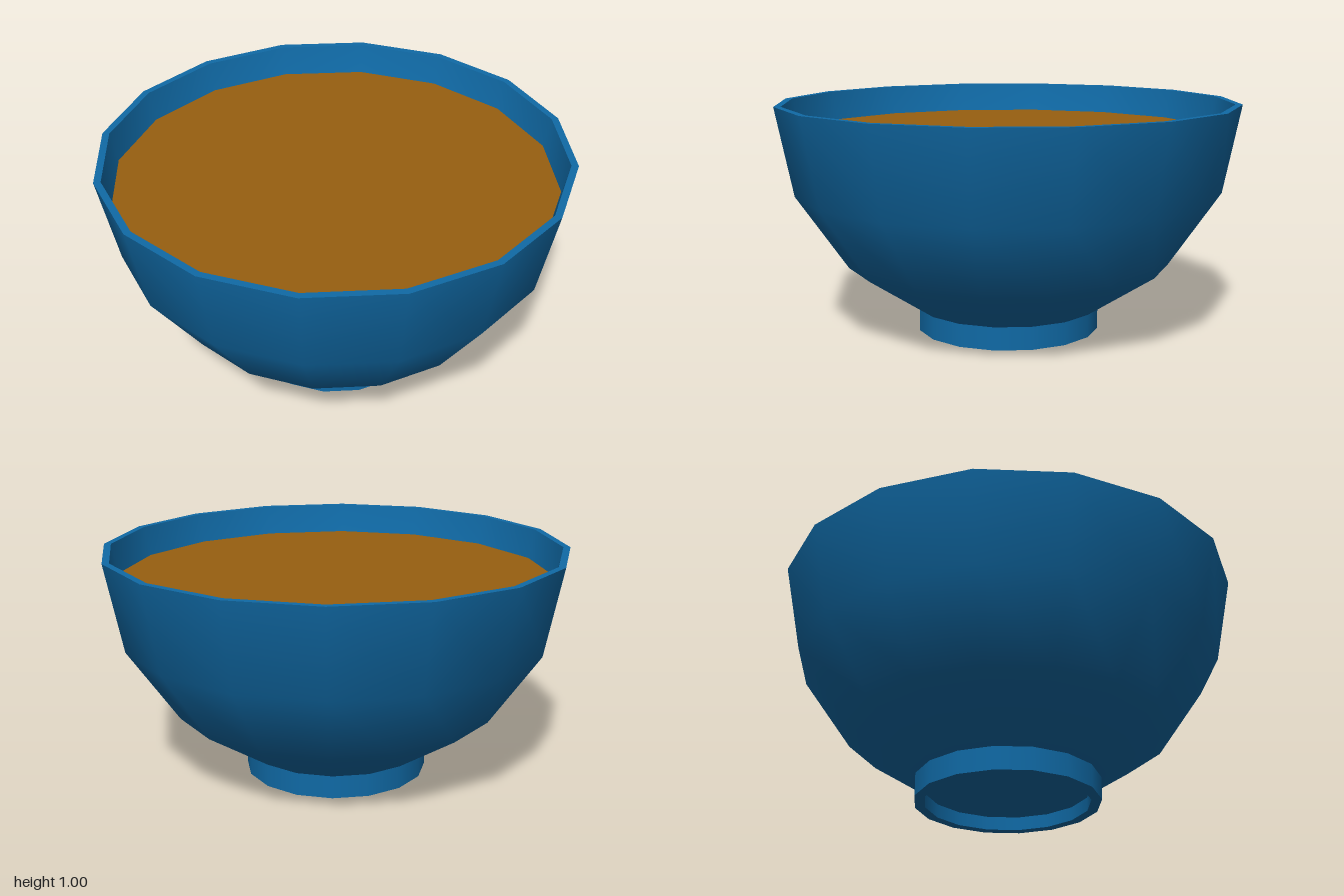
import * as THREE from 'three';

const SIDES = 16;

export function createModel() {
  const model = new THREE.Group();
  const blue = new THREE.MeshStandardMaterial({ color: 0x106aa6 });
  const brown = new THREE.MeshStandardMaterial({ color: 0x985f10 });

  // Each profile is its own lathe, so edges between profiles stay sharp
  function lathe(parent, name, profile) {
    const points = profile.map(([r, y]) => new THREE.Vector2(r, y));
    const mesh = new THREE.Mesh(new THREE.LatheGeometry(points, SIDES), blue);
    mesh.name = name;
    parent.add(mesh);
  }

  // Bowl: rounded outside, thin flat rim, matching inside
  const bowl = new THREE.Group();
  bowl.name = 'bowl';
  lathe(bowl, 'outerWall', [[0.4, 0.1], [0.705, 0.3], [0.925, 0.62], [1, 1]]);
  lathe(bowl, 'rim', [[1, 1], [0.97, 1]]);
  lathe(bowl, 'innerWall', [[0.97, 1], [0.895, 0.63], [0.685, 0.325], [0.39, 0.13], [0, 0.13]]);

  // Foot: hollow ring with a recessed base
  const foot = new THREE.Group();
  foot.name = 'foot';
  lathe(foot, 'footBase', [[0, 0.06], [0.355, 0.06]]);
  lathe(foot, 'footInside', [[0.355, 0.06], [0.355, 0]]);
  lathe(foot, 'footUnderside', [[0.355, 0], [0.4, 0]]);
  lathe(foot, 'footOutside', [[0.4, 0], [0.4, 0.1]]);

  // Soup surface just below the rim
  const soup = new THREE.Mesh(new THREE.CircleGeometry(0.943, SIDES), brown);
  soup.name = 'soup';
  soup.rotation.x = -Math.PI / 2;
  soup.position.y = 0.87;

  model.add(bowl, foot, soup);
  return model;
}
